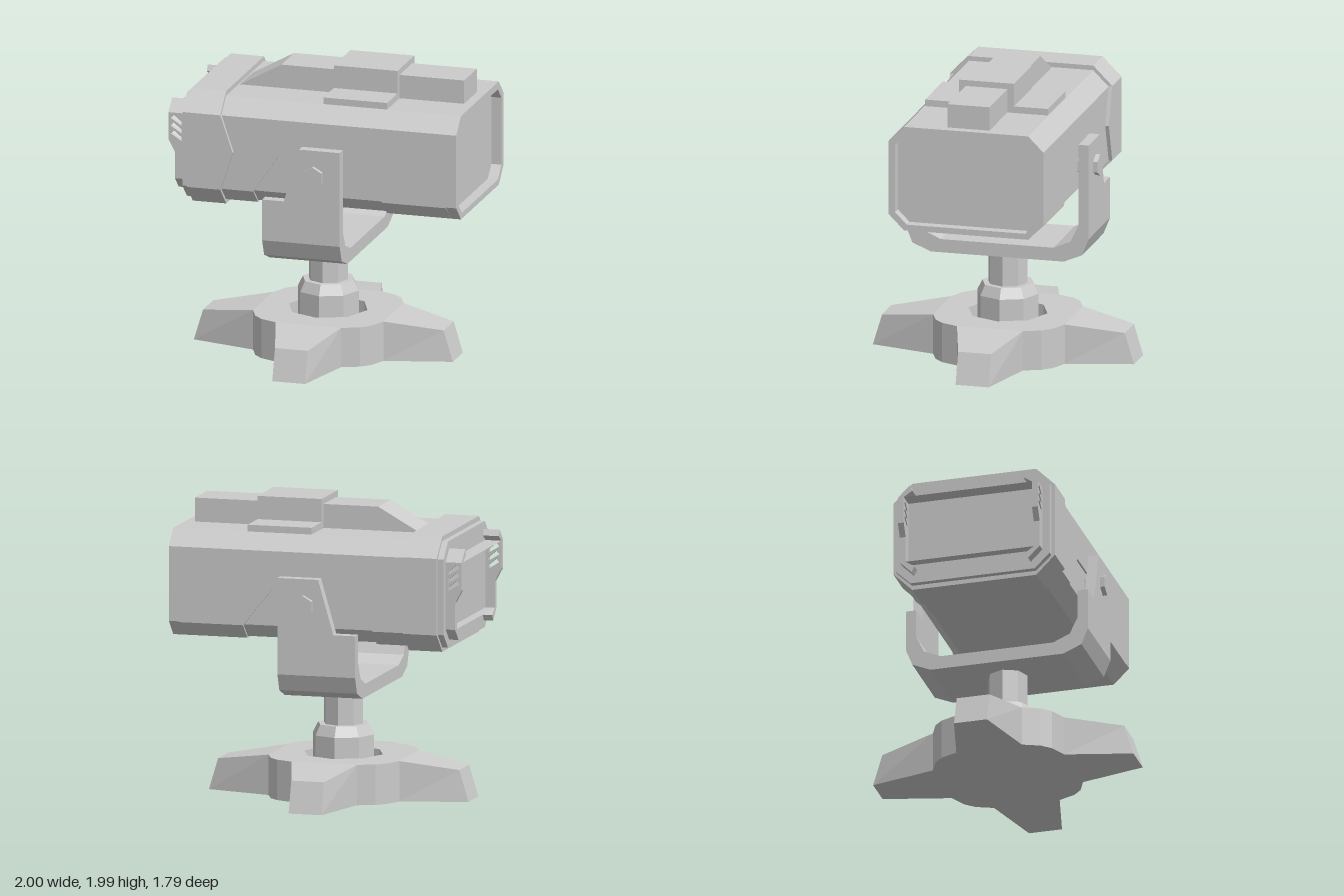
import * as THREE from 'three';

const material = new THREE.MeshStandardMaterial({ color: 0xcccccc, flatShading: true });
const POST_X = -0.045; // axis of the stand

const toShape = (pts) => new THREE.Shape(pts.map(([a, b]) => new THREE.Vector2(a, b)));
const extrude = (shape, depth) => new THREE.ExtrudeGeometry(shape, { depth, bevelEnabled: false });

// Section in (z, y), symmetric in z, run along x from x0 to x1
function alongX(shape, x0, x1) {
  return extrude(shape, x1 - x0).rotateY(Math.PI / 2).translate(x0, 0, 0);
}
// Outline in (x, y), thickness from z0 to z1
function alongZ(shape, z0, z1) {
  return extrude(shape, z1 - z0).translate(0, 0, z0);
}
// Close a half outline by mirroring it across the middle plane
function mirrored(half) {
  return toShape([...half, ...half.map(([z, y]) => [-z, y]).reverse()]);
}
// Rectangle with cut corners
function octagon(w, y0, y1, c) {
  return mirrored([[w - c, y0], [w, y0 + c], [w, y1 - c], [w - c, y1]]);
}

export function createModel() {
  const model = new THREE.Group();
  const add = (name, geometry, parent = model) => {
    const mesh = new THREE.Mesh(geometry, material);
    mesh.name = name;
    parent.add(mesh);
    return mesh;
  };
  // Same plate on the left and right sides
  const addSides = (name, shape, z0, z1) => {
    add(name, alongZ(shape, z0, z1));
    add(name, alongZ(shape, -z1, -z0));
  };

  // Base: round hub with a well, four tapering feet
  const base = new THREE.Group();
  base.name = 'base';
  base.position.x = POST_X;
  model.add(base);
  const corner = [[0.45, 0.225], [0.4, 0.34], [0.34, 0.4], [0.225, 0.45]];
  const hubPts = [];
  for (let i = 0; i < 4; i++) {
    const c = Math.round(Math.cos(i * Math.PI / 2)), s = Math.round(Math.sin(i * Math.PI / 2));
    for (const [a, b] of corner) hubPts.push([a * c - b * s, a * s + b * c]);
  }
  const hubTop = toShape(hubPts);
  const well = new THREE.Path();
  for (let i = 0; i < 8; i++) {
    const a = -i * Math.PI / 4, x = 0.27 * Math.cos(a), y = 0.27 * Math.sin(a);
    if (i) well.lineTo(x, y); else well.moveTo(x, y);
  }
  well.closePath();
  hubTop.holes.push(well);
  add('hubBottom', extrude(toShape(hubPts), 0.14).rotateX(-Math.PI / 2), base);
  add('hubTop', extrude(hubTop, 0.13).rotateX(-Math.PI / 2).translate(0, 0.14, 0), base);
  for (let i = 0; i < 4; i++) {
    const foot = new THREE.BoxGeometry(1, 1, 1);
    const p = foot.attributes.position;
    for (let v = 0; v < p.count; v++) {
      const top = p.getY(v) > 0, tip = p.getZ(v) > 0;
      p.setXYZ(v, Math.sign(p.getX(v)) * (tip ? 0.113 : 0.225),
        top ? (tip ? 0.21 : 0.27) : 0,
        tip ? (top ? 0.83 : 0.893) : 0.45);
    }
    foot.computeVertexNormals();
    add('foot', foot.rotateY(i * Math.PI / 2), base);
  }

  // Post: stepped octagonal column
  const postProfile = [[0.21, 0.13], [0.21, 0.4], [0.175, 0.47], [0.135, 0.47], [0.135, 0.73]];
  add('post', new THREE.LatheGeometry(postProfile.map(([r, y]) => new THREE.Vector2(r, y)), 8), base);

  // Yoke: bent strap with two upright arms
  add('yokeStrap', alongX(mirrored([
    [0.455, 0.715], [0.58, 0.768], [0.625, 0.88], [0.625, 1.16],
    [0.555, 1.16], [0.555, 0.97], [0.5, 0.855], [0.385, 0.805],
  ]), -0.31, 0.225));
  addSides('yokeArm', toShape([[-0.16, 1.16], [0.225, 1.16], [0.225, 1.525], [-0.055, 1.525]]), 0.555, 0.625);
  for (const s of [1, -1]) {
    add('pivotBolt', new THREE.CylinderGeometry(0.073, 0.073, 0.15, 6)
      .rotateX(Math.PI / 2).translate(0.045, 1.345, s * 0.58));
  }

  // Housing: core stepped in slightly at the lower sides, where the yoke sits
  add('housingCore', alongX(mirrored([
    [0.42, 1.092], [0.518, 1.185], [0.518, 1.43], [0.53, 1.43], [0.53, 1.685], [0.425, 1.79],
  ]), -0.89, 0.93));
  const belly = mirrored([[0.425, 1.08], [0.53, 1.18]]);
  add('rearBelly', alongX(belly, -0.89, -0.4));
  add('frontBelly', alongX(belly, 0.49, 0.93));
  addSides('rearSidePanel', toShape([[-0.89, 1.18], [-0.4, 1.18], [-0.23, 1.43], [-0.89, 1.43]]), 0.51, 0.53);
  addSides('frontSidePanel', toShape([[0.49, 1.18], [0.93, 1.18], [0.93, 1.43], [0.29, 1.43]]), 0.51, 0.53);

  // Rim around the recessed lens
  const rim = octagon(0.53, 1.08, 1.79, 0.105);
  rim.holes.push(octagon(0.485, 1.12, 1.74, 0.08));
  add('lensRim', alongX(rim, 0.93, 1));

  // Collar with pointed cheeks
  add('collar', alongX(octagon(0.555, 1.05, 1.822, 0.13), -0.85, -0.62));
  addSides('collarCheek', toShape([[-0.62, 1.18], [-0.535, 1.44], [-0.62, 1.692]]), 0.52, 0.555);

  // Rear shroud: open frame with slotted sides
  add('shroudTop', alongX(mirrored([
    [0.48, 1.66], [0.4, 1.74], [0.38, 1.7], [0.44, 1.66],
  ]), -1, -0.89));
  add('shroudBottom', alongX(mirrored([
    [0.48, 1.21], [0.4, 1.13], [0.38, 1.17], [0.44, 1.21],
  ]), -0.955, -0.89));
  const shroudSide = toShape([
    [-0.89, 1.21], [-0.89, 1.66], [-1, 1.66], [-1, 1.475], [-0.955, 1.39], [-0.955, 1.21],
  ]);
  for (let i = 0; i < 3; i++) {
    const d = -0.053 * i;
    shroudSide.holes.push(toShape([
      [-0.985, 1.622 + d], [-0.965, 1.645 + d], [-0.91, 1.6 + d], [-0.91, 1.575 + d],
    ]));
  }
  addSides('shroudSide', shroudSide, 0.44, 0.48);

  // Top rail, its clamp block and the wide clamp plate
  add('topRail', alongZ(toShape([
    [-0.62, 1.785], [0.935, 1.785], [0.935, 1.95], [-0.325, 1.95],
  ]), -0.143, 0.143));
  add('clampBlock', new THREE.BoxGeometry(0.44, 0.2, 0.376).translate(0.27, 1.89, 0));
  add('clampPlate', new THREE.BoxGeometry(0.44, 0.05, 0.84).translate(0.27, 1.81, 0));

  return model;
}
